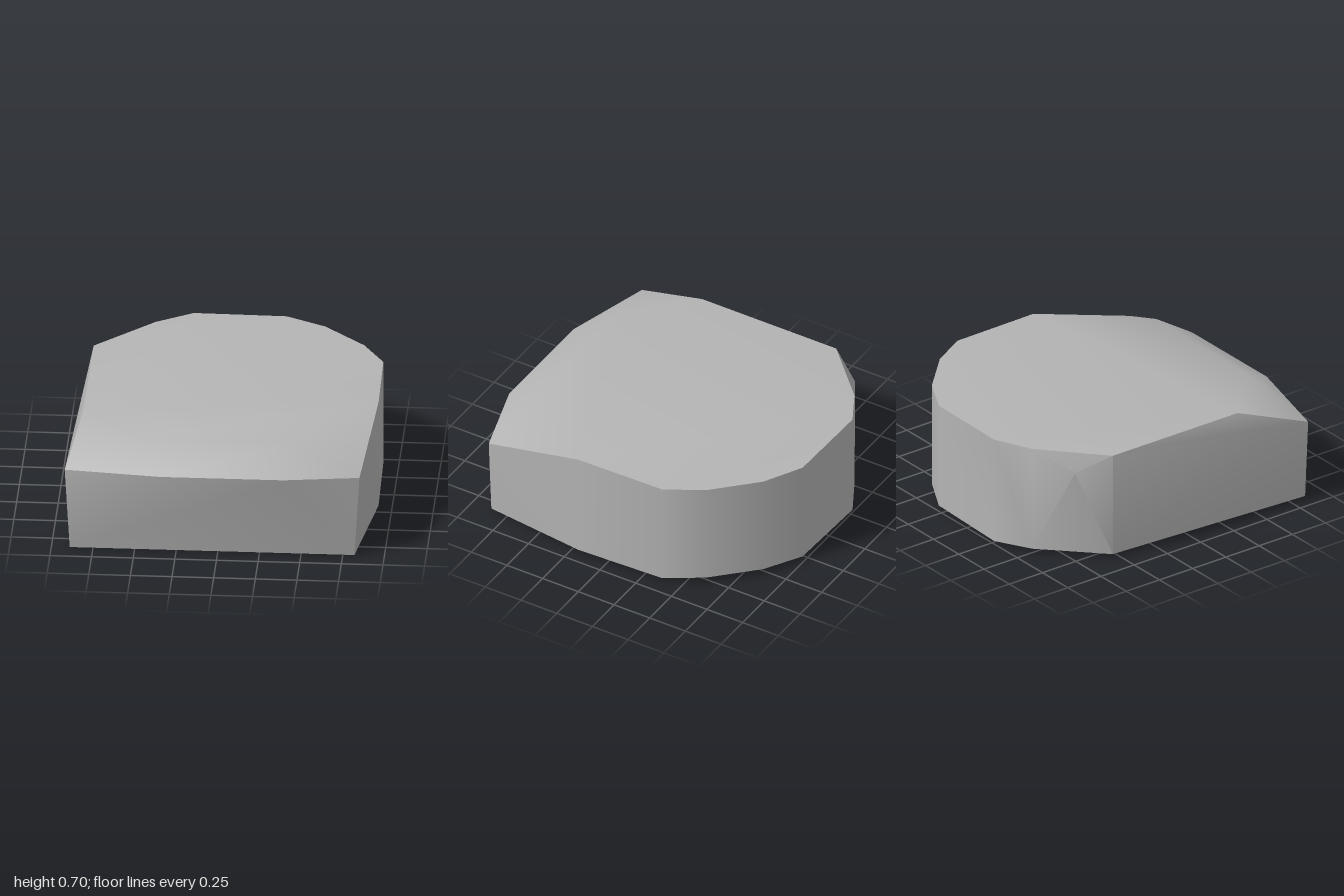
import * as THREE from 'three';
import { ConvexGeometry } from 'three/addons/geometries/ConvexGeometry.js';
import { toCreasedNormals } from 'three/addons/utils/BufferGeometryUtils.js';

export function createModel() {
  const group = new THREE.Group();
  group.name = 'stoneSlab';
  const stone = new THREE.MeshStandardMaterial({ color: 0xb4b4b4 });
  stone.name = 'stone grey';

  // wall corners that run straight up: x, z, bottom y, top y
  const walls = [
    [0.92, 0.2, 0.02, 0.7], [0.91, -0.38, 0.03, 0.7], [0.78, -0.61, 0.04, 0.7],
    [0.53, -0.86, 0.04, 0.7], [0.29, -0.99, 0.03, 0.7], [-0.27, -1, 0.02, 0.7],
    [-0.49, -0.88, 0.02, 0.69], [-0.84, -0.54, 0.02, 0.68],
  ];
  // front corners, front lip, bevel ridge and the chipped back corner
  const corners = [
    [0.82, 0, 0.87], [-0.89, 0, 0.87],
    [0.85, 0.51, 0.87], [-0.92, 0.51, 0.87],
    [0.4, 0.54, 1], [-0.34, 0.54, 1],
    [0.45, 0.68, 0.77], [-0.46, 0.68, 0.76],
    [-0.84, 0.68, 0.4], [-0.73, 0.58, -0.74],
  ];

  const points = corners.map((c) => new THREE.Vector3(...c));
  for (const [x, z, low, high] of walls) {
    points.push(new THREE.Vector3(x, low, z), new THREE.Vector3(x, high, z));
  }

  // convex block, soft across shallow edges and sharp across steep ones
  const slab = new THREE.Mesh(toCreasedNormals(new ConvexGeometry(points), 0.65), stone);
  slab.name = 'slab';
  group.add(slab);
  return group;
}
